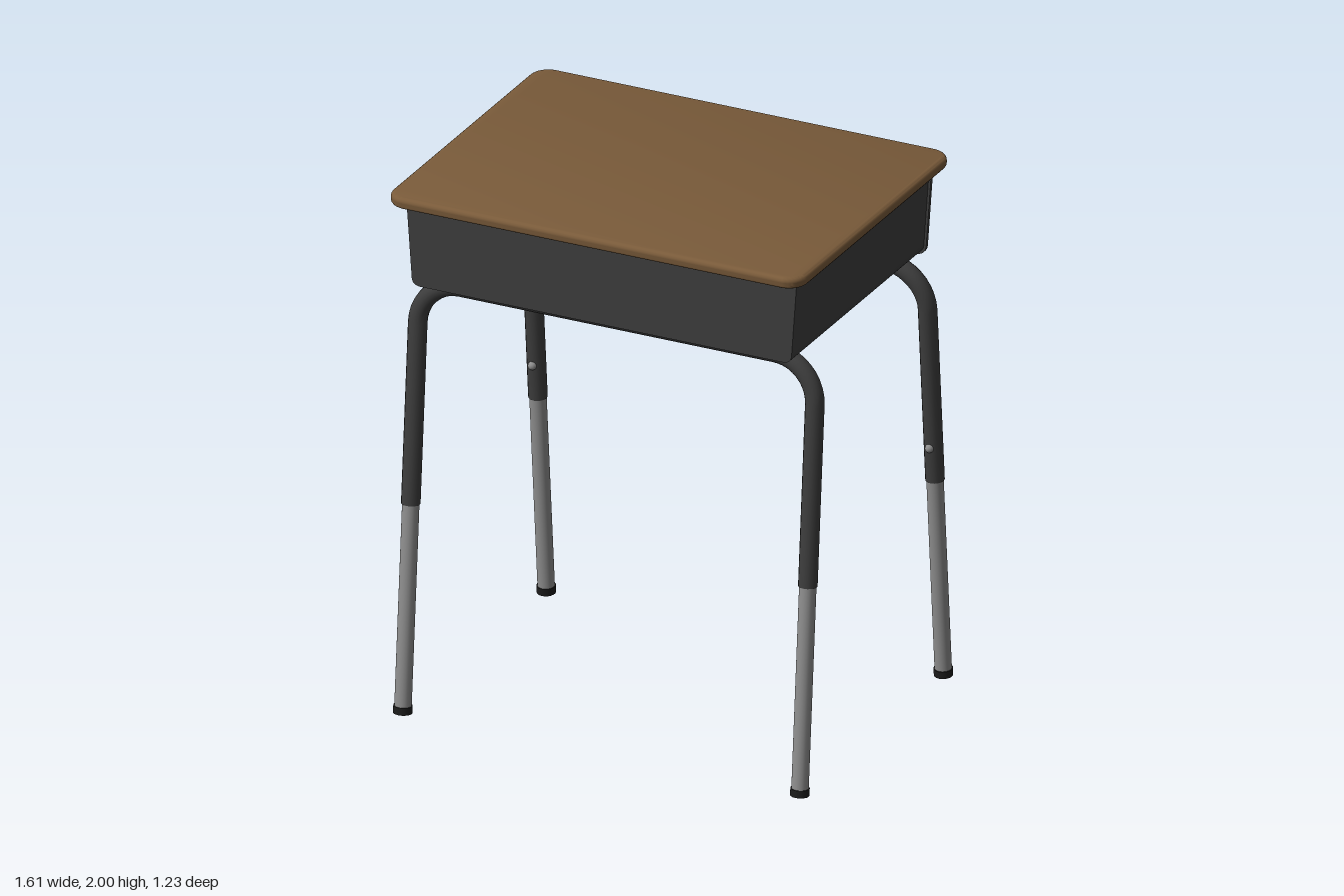
import * as THREE from 'three';
import { toCreasedNormals } from 'three/addons/utils/BufferGeometryUtils.js';

const mat = (name, color) => Object.assign(new THREE.MeshStandardMaterial({ color }), { name });

export function createModel() {
  const wood = mat('brown wood', 0x7a5b3a);
  const paint = mat('dark grey paint', 0x3d3d3d);
  const steel = mat('steel', 0x8e8e8e);
  const rubber = mat('black rubber', 0x1c1c1c);
  const desk = new THREE.Group();
  desk.name = 'schoolDesk';

  const add = (name, geometry, material, x = 0, y = 0, z = 0) => {
    const mesh = new THREE.Mesh(geometry, material);
    mesh.name = name;
    mesh.position.set(x, y, z);
    desk.add(mesh);
    return mesh;
  };
  const box = (name, w, h, d, x, y, z) => add(name, new THREE.BoxGeometry(w, h, d), paint, x, y, z);
  const rod = (name, a, b, r, material, sides = 20) => {
    const dir = b.clone().sub(a);
    const mesh = add(name, new THREE.CylinderGeometry(r, r, dir.length(), sides), material);
    mesh.position.copy(a).add(b).multiplyScalar(0.5);
    mesh.quaternion.setFromUnitVectors(new THREE.Vector3(0, 1, 0), dir.normalize());
  };
  const extrude = (shape, depth, extra = {}) => toCreasedNormals(
    new THREE.ExtrudeGeometry(shape, { depth, bevelEnabled: false, curveSegments: 8, ...extra }), 0.6);

  // Tabletop: rounded rectangle with a softened edge
  const b = 0.018, w = 0.803 - b, d = 0.603 - b, r = 0.055;
  const top = new THREE.Shape();
  top.moveTo(-w + r, -d);
  top.lineTo(w - r, -d).absarc(w - r, -d + r, r, -Math.PI / 2, 0);
  top.lineTo(w, d - r).absarc(w - r, d - r, r, 0, Math.PI / 2);
  top.lineTo(-w + r, d).absarc(-w + r, d - r, r, Math.PI / 2, Math.PI);
  top.lineTo(-w, -d + r).absarc(-w + r, -d + r, r, Math.PI, Math.PI * 1.5);
  const topGeo = extrude(top, 0.044 - 2 * b,
    { bevelEnabled: true, bevelSize: b, bevelThickness: b, bevelSegments: 4 });
  topGeo.rotateX(-Math.PI / 2);
  add('tabletop', topGeo, wood, 0, 1.956 + b, 0.01);

  // Book box: tapered U section, open at the back, closed at the front
  const yTop = 1.956, yBase = 1.638;
  const outline = (s, o, first) => {
    const xt = 0.755 + o, xb = 0.735 + o, y = yBase - o, c = 0.035 + o;
    const pts = [[xt, yTop], [xb, y + c], [xb, y], [xb - c, y]];
    if (first) s.moveTo(-pts[0][0], yTop); else s.lineTo(-pts[0][0], yTop);
    s.lineTo(-xb, y + c).quadraticCurveTo(-xb, y, -xb + c, y);
    s.lineTo(xb - c, y).quadraticCurveTo(xb, y, xb, y + c);
    s.lineTo(xt, yTop);
    return s;
  };
  const uShape = (outer, inner) => {
    const s = outline(new THREE.Shape(), outer, true);
    const xt = 0.755 + inner, xb = 0.735 + inner, y = yBase - inner, c = 0.035 + inner;
    s.lineTo(xt, yTop);
    s.lineTo(xb, y + c).quadraticCurveTo(xb, y, xb - c, y);
    s.lineTo(-xb + c, y).quadraticCurveTo(-xb, y, -xb, y + c);
    s.lineTo(-xt, yTop);
    return s;
  };
  add('bookBoxShell', extrude(uShape(0, -0.012), 1.02), paint, 0, 0, -0.5);
  add('bookBoxFront', extrude(outline(new THREE.Shape(), 0, true), 0.012), paint, 0, 0, 0.52);
  add('bookBoxBackLip', extrude(uShape(0.009, -0.014), 0.014), paint, 0, 0, -0.51);

  // Mounting flanges under the top, with screws
  const screw = (x, y, z) => add('screw', new THREE.CylinderGeometry(0.009, 0.009, 0.008, 10), steel, x, y, z);
  for (const s of [-1, 1]) {
    box('sideFlange', 0.045, 0.008, 0.94, s * 0.763, 1.952, 0.02);
    for (const z of [-0.38, -0.12, 0.14, 0.4]) screw(s * 0.773, 1.947, z);
  }
  box('frontFlange', 1.4, 0.008, 0.045, 0, 1.952, 0.54);
  for (const x of [-0.52, -0.17, 0.17, 0.52]) screw(x, 1.947, 0.552);

  // Angle rails joining the two leg frames below the box
  for (const s of [-1, 1]) {
    box('railWeb', 0.012, 0.07, 0.82, s * 0.545, 1.602, -0.035);
    box('railFoot', 0.05, 0.01, 0.82, s * 0.522, 1.571, -0.035);
    for (const z of [-0.3, -0.03, 0.24]) screw(s * 0.516, 1.565, z);
  }

  // Leg frames: bent tube, telescoping lower legs, feet and lock buttons
  const yBar = 1.604, xLeg = 0.768, bend = 0.16, k = 0.5523;
  for (const [name, zTop, zFoot] of [['front', 0.405, 0.535], ['back', -0.445, -0.582]]) {
    const at = (x, y) => new THREE.Vector3(x, y, zTop + (zFoot - zTop) * (yBar - y) / yBar);
    const corner = (s) => [
      at(s * xLeg, yBar - bend), at(s * xLeg, yBar - bend * (1 - k)),
      at(s * (xLeg - bend * (1 - k)), yBar), at(s * (xLeg - bend), yBar)];
    const L = corner(-1), R = corner(1).reverse();
    const path = new THREE.CurvePath();
    path.add(new THREE.LineCurve3(at(-xLeg, 0.79), L[0]));
    path.add(new THREE.CubicBezierCurve3(...L));
    path.add(new THREE.LineCurve3(L[3], R[0]));
    path.add(new THREE.CubicBezierCurve3(...R));
    path.add(new THREE.LineCurve3(R[3], at(xLeg, 0.79)));
    add(name + 'LegFrame', new THREE.TubeGeometry(path, 120, 0.034, 16), paint);

    for (const s of [-1, 1]) {
      const x = s * xLeg;
      rod(name + 'LegCollar', at(x, 0.775), at(x, 0.792), 0.034, paint, 16);
      rod(name + 'LowerLeg', at(x, 0.02), at(x, 0.785), 0.0305, steel);
      rod(name + 'Foot', at(x, 0.003), at(x, 0.03), 0.034, rubber);
      const p = at(x, 0.91);
      p.z -= Math.sign(zTop) * 0.033;
      add(name + 'LockButton', new THREE.SphereGeometry(0.016, 12, 8), steel, p.x, p.y, p.z);
    }
  }
  return desk;
}
